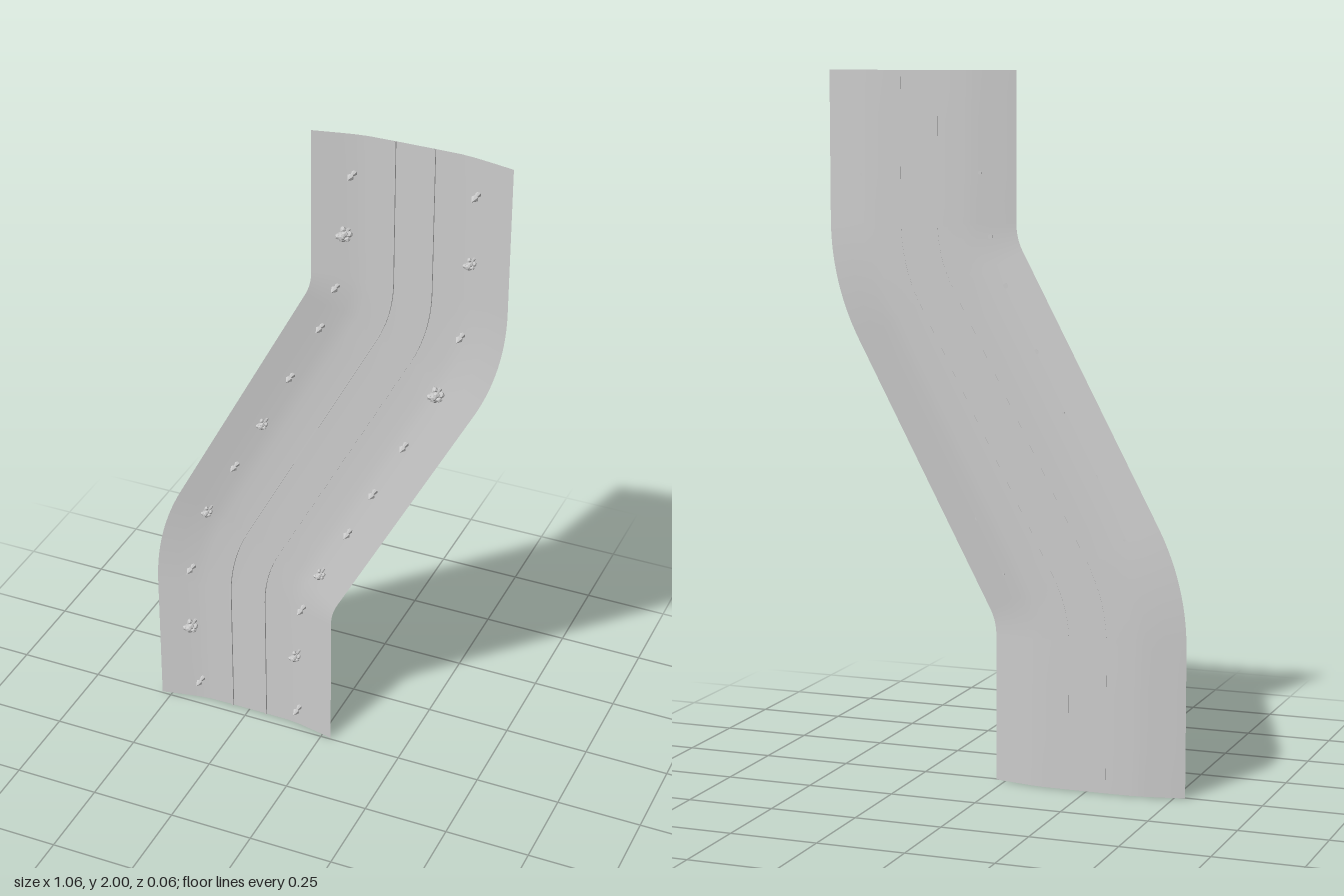
import * as THREE from 'three';

const grey = new THREE.MeshStandardMaterial({ color: 0xcccccc, side: THREE.DoubleSide });
const leafy = new THREE.MeshStandardMaterial({ color: 0xcccccc, flatShading: true });

// Centre line: straight, arc, slanted straight, arc, straight. Each point is [x, y, heading]
function centreLine() {
  const R = 0.44, turn = 0.489, n = 14, pts = [];
  for (let i = 0; i <= 3; i++) pts.push([-0.25, 0.14 * i, 0]);
  for (let i = 1; i <= n; i++) {
    const a = turn * i / n;
    pts.push([-0.25 + R * (1 - Math.cos(a)), 0.42 + R * Math.sin(a), a]);
  }
  const [x, y] = pts[pts.length - 1];
  for (let i = 1; i < 8; i++) {
    const t = i / 8;
    pts.push([x * (1 - 2 * t), y + (2 - 2 * y) * t, turn]);
  }
  // the upper half is the lower half turned about the middle
  const lower = pts.slice(0, n + 4).reverse();
  for (const [px, py, a] of lower) pts.push([-px, 2 - py, a]);
  return pts;
}

// Sweep a profile of [sideways offset, z] along the centre line
function sweep(name, profile, path) {
  const pos = [], idx = [], m = profile.length;
  for (const [x, y, a] of path) {
    for (const [o, z] of profile) pos.push(x + o * Math.cos(a), y - o * Math.sin(a), z);
  }
  for (let i = 0; i < path.length - 1; i++) {
    for (let j = 0; j < m - 1; j++) {
      const a = i * m + j, b = a + m;
      idx.push(a, a + 1, b, a + 1, b + 1, b);
    }
  }
  const geo = new THREE.BufferGeometry();
  geo.setAttribute('position', new THREE.Float32BufferAttribute(pos, 3));
  geo.setIndex(idx);
  geo.computeVertexNormals();
  const mesh = new THREE.Mesh(geo, grey);
  mesh.name = name;
  return mesh;
}

// Large bush: short stem with a ring of faceted leaf clumps
function bush(x, y, r) {
  const g = new THREE.Group();
  g.name = 'bush';
  const stem = new THREE.Mesh(new THREE.CylinderGeometry(r * 0.15, r * 0.2, 0.03, 6), leafy);
  stem.rotation.x = Math.PI / 2;
  stem.position.z = -0.012;
  stem.name = 'stem';
  g.add(stem);
  for (let i = 0; i < 9; i++) {
    const a = i * 2.4, d = r * 0.66 * Math.sqrt(i / 8);
    const clump = new THREE.Mesh(new THREE.IcosahedronGeometry(r * 0.36, 0), leafy);
    clump.position.set(d * Math.cos(a), d * Math.sin(a), 0.022 - 0.016 * (i / 8) + 0.004 * Math.sin(i * 5));
    clump.rotation.set(i, i * 2, 0);
    clump.name = 'leafClump';
    g.add(clump);
  }
  g.position.set(x, y, 0);
  return g;
}

// Small shrub: two stacked cones on the bank
function shrub(x, y) {
  const g = new THREE.Group();
  g.name = 'shrub';
  [[0.008, 0.032, -0.008], [0.010, 0.022, 0.012]].forEach(([r, h, z]) => {
    const cone = new THREE.Mesh(new THREE.ConeGeometry(r, h, 6), leafy);
    cone.rotation.x = Math.PI / 2;
    cone.position.z = z;
    cone.name = 'shrubTier';
    g.add(cone);
  });
  g.position.set(x, y, 0);
  return g;
}

export function createModel() {
  const model = new THREE.Group();
  model.name = 'windingValleyTrack';
  const path = centreLine();

  // Shallow valley floor with rising banks
  const half = [[0.28, -0.005], [0.22, -0.018], [0.17, -0.028], [0.13, -0.033], [0.055, -0.034]];
  const valley = [...half.map(([o, z]) => [-o, z]), ...[...half].reverse()];
  model.add(sweep('valley', valley, path));

  // Pair of thin rails
  for (const s of [-1, 1]) {
    const c = 0.055 * s, w = 0.0025;
    const rail = [[c - w, -0.0345], [c - w, -0.029], [c + w, -0.029], [c + w, -0.0345], [c - w, -0.0345]];
    const mesh = sweep(s < 0 ? 'rightRail' : 'leftRail', rail, path);
    mesh.geometry = mesh.geometry.toNonIndexed();
    mesh.geometry.computeVertexNormals();
    model.add(mesh);
  }

  // Planting along both banks
  [[0.07, 1.72, 0.026], [0.425, 1.71, 0.02], [0.34, 1.29, 0.027], [-0.175, 1.065, 0.019],
    [-0.355, 0.72, 0.019], [0, 0.6, 0.019], [-0.42, 0.29, 0.026], [-0.08, 0.28, 0.02]]
    .forEach(b => model.add(bush(...b)));
  [[0.085, 1.89], [0.43, 1.9], [0.04, 1.545], [0.4, 1.475], [-0.005, 1.41], [-0.095, 1.23],
    [0.245, 1.09], [0.155, 0.91], [-0.27, 0.89], [0.08, 0.755], [-0.42, 0.49], [-0.065, 0.445],
    [-0.4, 0.08], [-0.08, 0.07]].forEach(s => model.add(shrub(...s)));
  return model;
}
